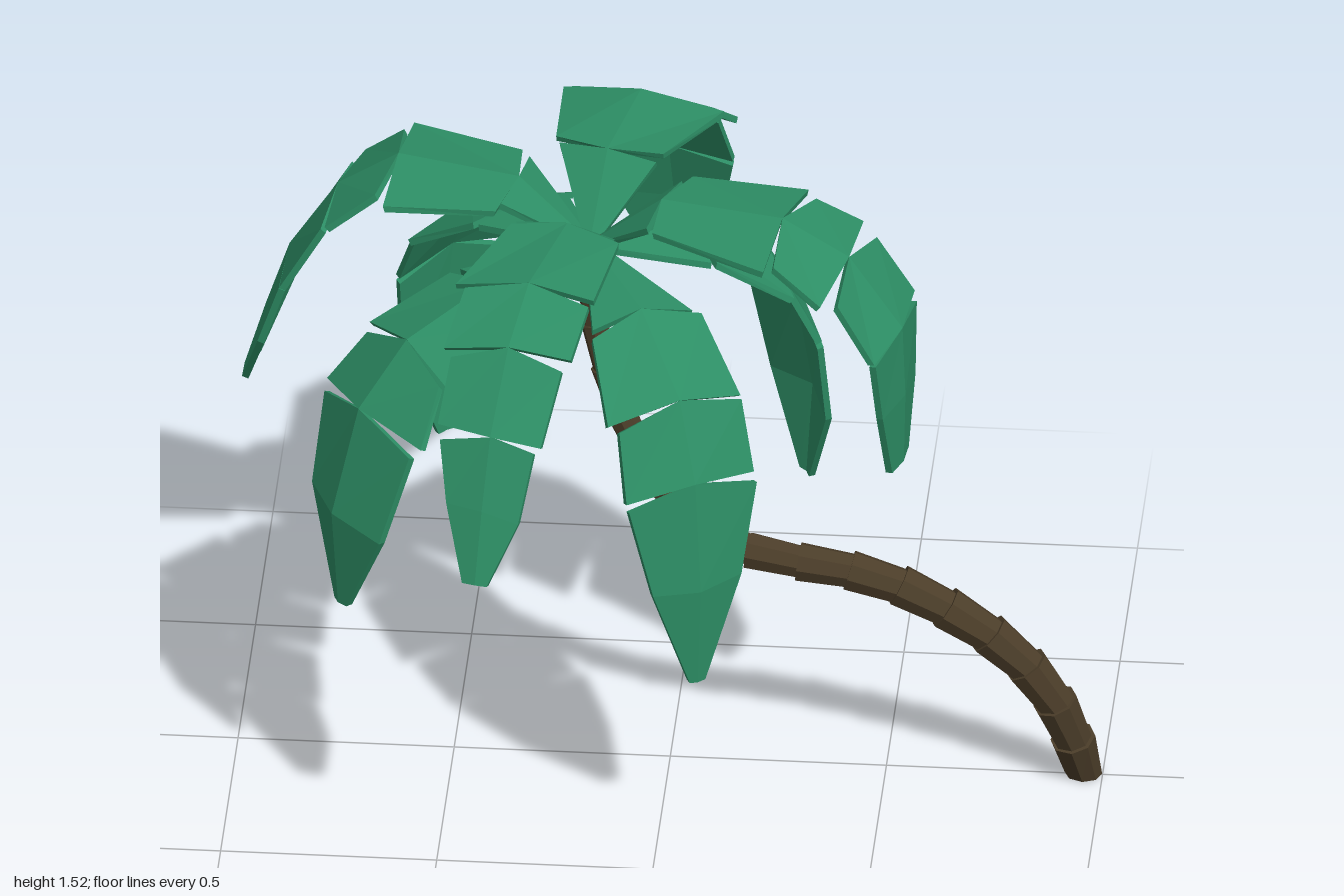
import * as THREE from 'three';

const V = (x, y, z) => new THREE.Vector3(x, y, z);
const CROWN = V(-0.19, 1.35, -0.055);

// small seeded generator for irregular leaf edges
function seeded(seed) {
  let s = seed * 7919 + 13;
  return () => (s = (s * 16807) % 2147483647) / 2147483647;
}

// lobes along the rib: [start, end, start half width, end half width, slit before it]
const HIGH_LOBES = [
  [0, 0.18, 0.015, 0.12, 0], [0.18, 0.41, 0.14, 0.185, 0.01], [0.41, 0.55, 0.16, 0.18, 0.02],
  [0.55, 0.72, 0.16, 0.17, 0.02], [0.72, 0.86, 0.155, 0.13, 0.01], [0.86, 1, 0.13, 0.06, 0],
];
const LOW_LOBES = [
  [0, 0.22, 0.015, 0.12, 0], [0.22, 0.42, 0.14, 0.18, 0.012], [0.42, 0.58, 0.16, 0.185, 0.02],
  [0.58, 0.8, 0.175, 0.135, 0.025], [0.8, 1, 0.135, 0.025, 0],
];

// fronds: tip, rib points between crown and tip as [fraction of reach, height], taper
const HIGH_FRONDS = [
  [V(-0.04, 0.9, -0.78), [[0.2, 1.52], [0.55, 1.52], [0.77, 1.41], [0.91, 1.2]], 0],
  [V(0.55, 0.9, 0.12), [[0.2, 1.49], [0.62, 1.5], [0.82, 1.43], [0.98, 1.3]], 0],
  [V(-0.39, 0.92, 0.78), [[0.2, 1.5], [0.5, 1.51], [0.69, 1.43], [0.86, 1.26]], 0.5],
  [V(-1.0, 0.9, -0.19), [[0.2, 1.5], [0.56, 1.52], [0.81, 1.34], [0.91, 1.14]], 0],
];
const LOW_RIB = [[0.3, 1.34], [0.62, 1.29], [0.87, 1.16], [1.02, 0.88]];
const LOW_FRONDS = [
  [V(0.3, 0.57, -0.36), LOW_RIB, 0], [V(0.1, 0.48, 0.45), LOW_RIB, 0.2],
  [V(-0.57, 0.52, -0.56), LOW_RIB, 0], [V(-0.74, 0.6, 0.36), LOW_RIB, 0],
];

// thick four-cornered plate; top corners run anticlockwise seen from outside
function addPlate(out, top, bottom) {
  const quad = (a, b, c, d) => [a, b, c, a, c, d].forEach((p) => out.push(p.x, p.y, p.z));
  quad(...top);
  quad(...[...bottom].reverse());
  for (let i = 0; i < 4; i++) {
    const j = (i + 1) % 4;
    quad(top[i], bottom[i], bottom[j], top[j]);
  }
}

function frondGeometry([tip, ribPoints, taper], lobes, fold, seed) {
  const rand = seeded(seed);
  const dx = tip.x - CROWN.x, dz = tip.z - CROWN.z;
  const side = V(-dz, 0, dx).normalize();
  const rib = new THREE.CatmullRomCurve3([
    CROWN, ...ribPoints.map(([f, y]) => V(CROWN.x + dx * f, y, CROWN.z + dz * f)), tip,
  ]);
  // point on the roof-folded blade at signed width w
  const blade = (t, w, depth) => {
    const width = w * (1 - taper * t * t);
    const normal = side.clone().cross(rib.getTangentAt(t)).normalize();
    return rib.getPointAt(t).addScaledVector(side, width)
      .addScaledVector(normal, -Math.abs(width) * fold - depth);
  };
  const out = [];
  for (const s of [1, -1]) {
    let edgeT = 0, edgeW = 0.015;
    for (const [a, b, w0, w1, slit] of lobes) {
      const joined = slit === 0;
      const startT = joined ? edgeT : a + slit + 0.015 * rand();
      const startW = joined ? edgeW : w0 * (0.9 + 0.2 * rand());
      const endT = Math.min(1, b + 0.03 * (rand() - 0.3));
      const endW = w1 * (0.9 + 0.2 * rand());
      const corners = [[a, 0], [startT, s * startW], [endT, s * endW], [b, 0]];
      if (s < 0) corners.reverse();
      const layer = (d) => corners.map(([t, w]) => blade(t, w, d));
      addPlate(out, layer(0), layer(0.016));
      edgeT = endT;
      edgeW = endW;
    }
  }
  const geo = new THREE.BufferGeometry();
  geo.setAttribute('position', new THREE.Float32BufferAttribute(out, 3));
  geo.computeVertexNormals();
  return geo;
}

export function createModel() {
  const model = new THREE.Group();
  const leaf = new THREE.MeshStandardMaterial({ color: 0x2d8e65, flatShading: true });
  leaf.name = 'leaf green';
  const bark = new THREE.MeshStandardMaterial({ color: 0x4b3d29, flatShading: true });
  bark.name = 'bark brown';

  // curved trunk of overlapping flared rings
  const trunk = new THREE.Group();
  trunk.name = 'trunk';
  const path = new THREE.CatmullRomCurve3([
    V(0.955, -0.01, -0.005), V(0.915, 0.18, 0.045), V(0.815, 0.34, 0.06), V(0.66, 0.46, 0.06),
    V(0.48, 0.54, 0.05), V(0.28, 0.57, 0.04), V(0.12, 0.595, 0.01), V(0.02, 0.66, -0.025),
    V(-0.08, 0.81, -0.04), V(-0.155, 1.02, -0.045), V(-0.19, 1.22, -0.05),
    V(CROWN.x, CROWN.y + 0.015, CROWN.z),
  ]);
  const RINGS = 17;
  const radius = (t) => 0.048 - 0.023 * Math.max(0, (t - 0.3) / 0.7);
  for (let i = 0; i < RINGS; i++) {
    const t0 = i / RINGS, t1 = Math.min(1, (i + 1.1) / RINGS);
    const a = path.getPointAt(t0), b = path.getPointAt(t1);
    const dir = b.clone().sub(a);
    const geo = new THREE.CylinderGeometry(radius(t1) * 1.1, radius(t0) * 0.92, dir.length(), 8);
    geo.applyQuaternion(new THREE.Quaternion().setFromUnitVectors(V(0, 1, 0), dir.clone().normalize()));
    const mid = a.add(b).multiplyScalar(0.5);
    geo.translate(mid.x, mid.y, mid.z);
    // flat foot on the ground
    const p = geo.attributes.position;
    for (let k = 0; k < p.count; k++) {
      if (p.getY(k) < 0.03) p.setY(k, 0);
    }
    const ring = new THREE.Mesh(geo, bark);
    ring.name = 'trunkRing';
    trunk.add(ring);
  }
  model.add(trunk);

  // upper and lower tiers of four fronds
  let seed = 1;
  for (const [name, fronds, lobes, fold] of [
    ['upperFrond', HIGH_FRONDS, HIGH_LOBES, 0.14],
    ['lowerFrond', LOW_FRONDS, LOW_LOBES, 0.25],
  ]) {
    for (const spec of fronds) {
      const frond = new THREE.Mesh(frondGeometry(spec, lobes, fold, seed++), leaf);
      frond.name = name;
      model.add(frond);
    }
  }
  return model;
}
